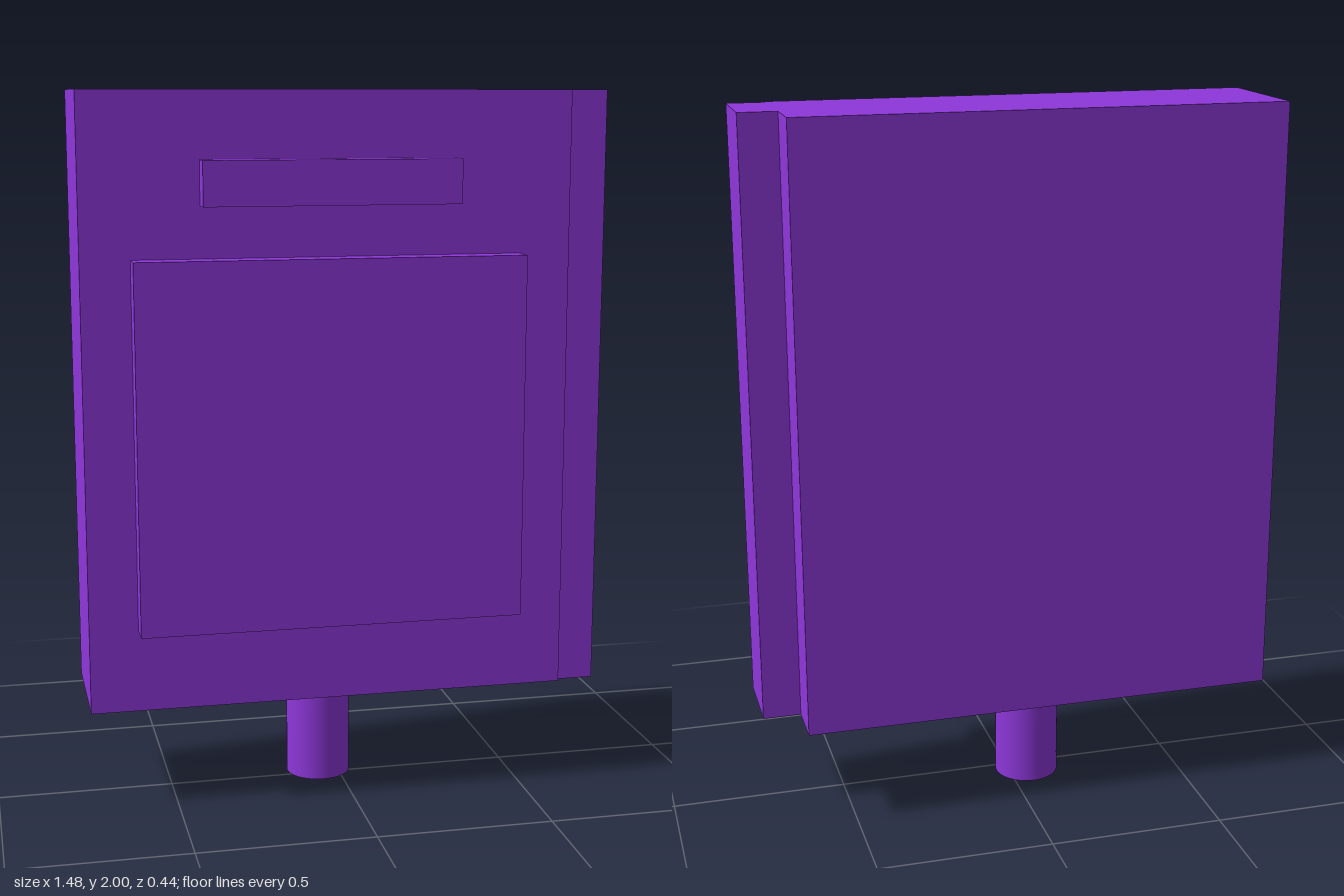
import * as THREE from 'three';

export function createModel() {
  const model = new THREE.Group();
  model.name = 'signBoard';
  const purple = new THREE.MeshStandardMaterial({ color: 0x8e37da });
  purple.name = 'purple';

  const add = (name, geometry, x, y, z) => {
    const mesh = new THREE.Mesh(geometry, purple);
    mesh.name = name;
    mesh.position.set(x, y, z);
    model.add(mesh);
  };

  // Box given by its extents along each axis
  const addBox = (name, [x0, x1], [y0, y1], [z0, z1]) =>
    add(name, new THREE.BoxGeometry(x1 - x0, y1 - y0, z1 - z0),
      (x0 + x1) / 2, (y0 + y1) / 2, (z0 + z1) / 2);

  // Main slab and the narrower strip along its left edge
  addBox('body', [-0.74, 0.632], [0.285, 2], [-0.222, 0.151]);
  addBox('sideStrip', [0.632, 0.74], [0.285, 2], [-0.082, 0.136]);

  // Raised details on the front
  addBox('frontPanel', [-0.603, 0.488], [0.517, 1.55], [0.151, 0.222]);
  addBox('frontBar', [-0.413, 0.302], [1.692, 1.815], [0.151, 0.213]);

  // Round post underneath
  add('post', new THREE.CylinderGeometry(0.093, 0.093, 0.285, 48), -0.056, 0.1425, -0.034);

  return model;
}
